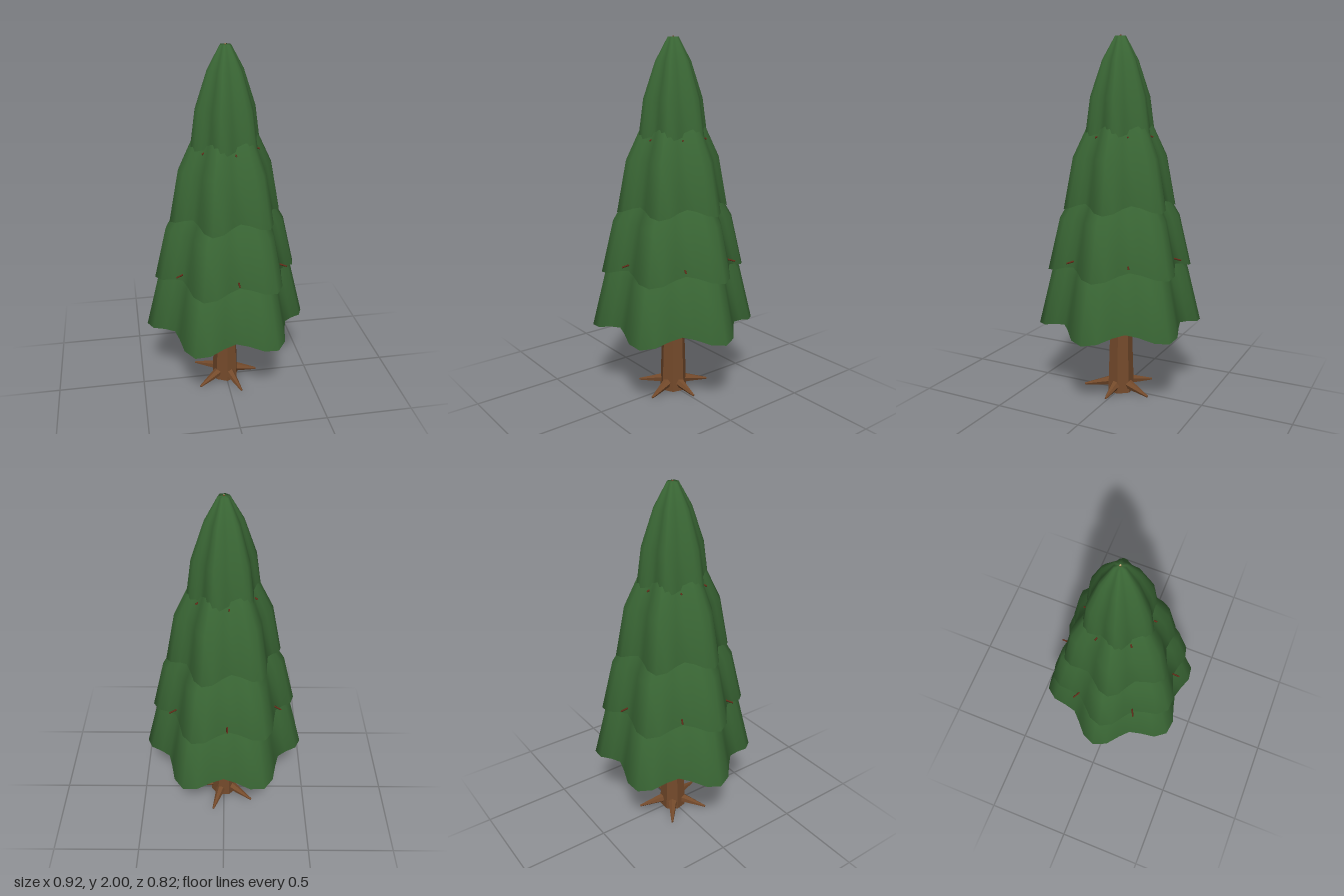
import * as THREE from 'three';

const mat = (name, color, extra = {}) => {
  const m = new THREE.MeshStandardMaterial({ color, ...extra });
  m.name = name;
  return m;
};

// point at a compass angle (degrees), radius and height
const polar = (deg, r, y) => {
  const a = THREE.MathUtils.degToRad(deg);
  return new THREE.Vector3(r * Math.cos(a), y, -r * Math.sin(a));
};

// fluted skirt: six lobes and a scalloped rim, closed by a hollowed underside
function skirtGeometry(radius, bottom, height, turn) {
  const SEG = 36;
  // rows from the middle of the underside, round the rim, to the tip:
  // height, radius factor, flute depth, scallop
  const rows = [
    [0.15, 0, 0, 0],
    [0.125, 0.5, 0.8, 0.2],
    [0.08, 0.9, 1, 0.6],
    [0, 1, 1, 1],
    [height * 0.44, 0.83, 0.95, 0],
    [height * 0.78, 0.5, 0.9, 0],
    [height, 0.15, 0.6, 0],
    [height, 0, 0, 0],
  ];
  const pos = [], idx = [];
  rows.forEach(([h, f, flute, scallop], j) => {
    for (let i = 0; i < SEG; i++) {
      const wave = (1 - Math.cos(i * Math.PI / 3)) / 2; // 0 on a lobe, 1 in a valley
      const r = radius * f * (1 - 0.205 * flute * wave);
      pos.push(...polar(i * 360 / SEG + turn, r, bottom + h + 0.045 * scallop * wave).toArray());
      if (j < rows.length - 1) {
        const k = (i + 1) % SEG, a = j * SEG + i, b = j * SEG + k;
        if (j > 0) idx.push(a, b, a + SEG);
        if (j < rows.length - 2) idx.push(b, b + SEG, a + SEG);
      }
    }
  });
  const g = new THREE.BufferGeometry();
  g.setAttribute('position', new THREE.Float32BufferAttribute(pos, 3));
  g.setIndex(idx);
  g.computeVertexNormals();
  return g;
}

// tube that narrows towards its end
function taperedTube(curve, radius, endScale) {
  const STEPS = 6, SIDES = 5;
  const g = new THREE.TubeGeometry(curve, STEPS, radius, SIDES);
  const p = g.attributes.position, v = new THREE.Vector3();
  for (let i = 0; i < p.count; i++) {
    const t = Math.floor(i / (SIDES + 1)) / STEPS;
    const centre = curve.getPointAt(t);
    v.fromBufferAttribute(p, i).sub(centre).multiplyScalar(1 + (endScale - 1) * t).add(centre);
    p.setXYZ(i, v.x, v.y, v.z);
  }
  return g;
}

export function createModel() {
  const tree = new THREE.Group();
  tree.name = 'pineTree';
  const needles = mat('needleGreen', 0x3a6735, { side: THREE.DoubleSide });
  const bark = mat('barkBrown', 0x744a2b, { flatShading: true });
  const twigWood = mat('twigBrown', 0x632d19);
  const cutWood = mat('cutWood', 0xc4ab78);

  const add = (parent, name, geometry, material) => {
    const m = new THREE.Mesh(geometry, material);
    m.name = name;
    parent.add(m);
    return m;
  };

  // seven-sided trunk in two tapering lengths, a corner facing front
  [[0.078, 0.061, 0, 0.5], [0.061, 0.005, 0.5, 2]].forEach(([r0, r1, y0, y1], i) => {
    const g = new THREE.CylinderGeometry(r1, r0, y1 - y0, 7);
    add(tree, i ? 'upperTrunk' : 'lowerTrunk', g, [bark, cutWood, cutWood]).position.y = (y0 + y1) / 2;
  });

  // five tapered roots spreading from the foot
  const roots = new THREE.Group();
  roots.name = 'roots';
  tree.add(roots);
  for (let i = 0; i < 5; i++) {
    const deg = i * 72;
    const from = polar(deg, 0.045, 0.05), to = polar(deg, i ? 0.21 : 0.19, 0.016);
    const dir = to.clone().sub(from);
    const root = add(roots, 'root', new THREE.CylinderGeometry(0.006, 0.03, dir.length(), 6), bark);
    root.position.copy(from).add(to).multiplyScalar(0.5);
    root.quaternion.setFromUnitVectors(new THREE.Vector3(0, 1, 0), dir.normalize());
  }

  // needle tiers, each with a ring of twigs
  const tiers = [ // radius, bottom, height, turn, twig angle, twig reach, twig tip height
    [0.459, 0.415, 0.72, 0, 57, 0.4, 0.475],
    [0.405, 0.735, 0.66, 4.5, 33, 0.36, 0.805],
    [0.318, 1.075, 0.64, 9, 66, 0.26, 1.14],
    [0.204, 1.43, 0.565, 13, 39, 0.185, 1.465],
  ];
  tiers.forEach(([radius, bottom, height, turn, twigTurn, reach, tipY], n) => {
    const tier = new THREE.Group();
    tier.name = 'tier' + (n + 1);
    tree.add(tier);
    add(tier, 'needleSkirt', skirtGeometry(radius, bottom, height, turn), needles);
    for (let i = 0; i < 6; i++) {
      const deg = twigTurn + i * 60;
      const curve = new THREE.QuadraticBezierCurve3(
        polar(deg, 0.02, tipY + 0.08),
        polar(deg + 4, reach * 0.5, tipY + 0.02),
        polar(deg, reach, tipY));
      add(tier, 'twig', taperedTube(curve, 0.011, 0.4), twigWood);
    }
  });
  return tree;
}
